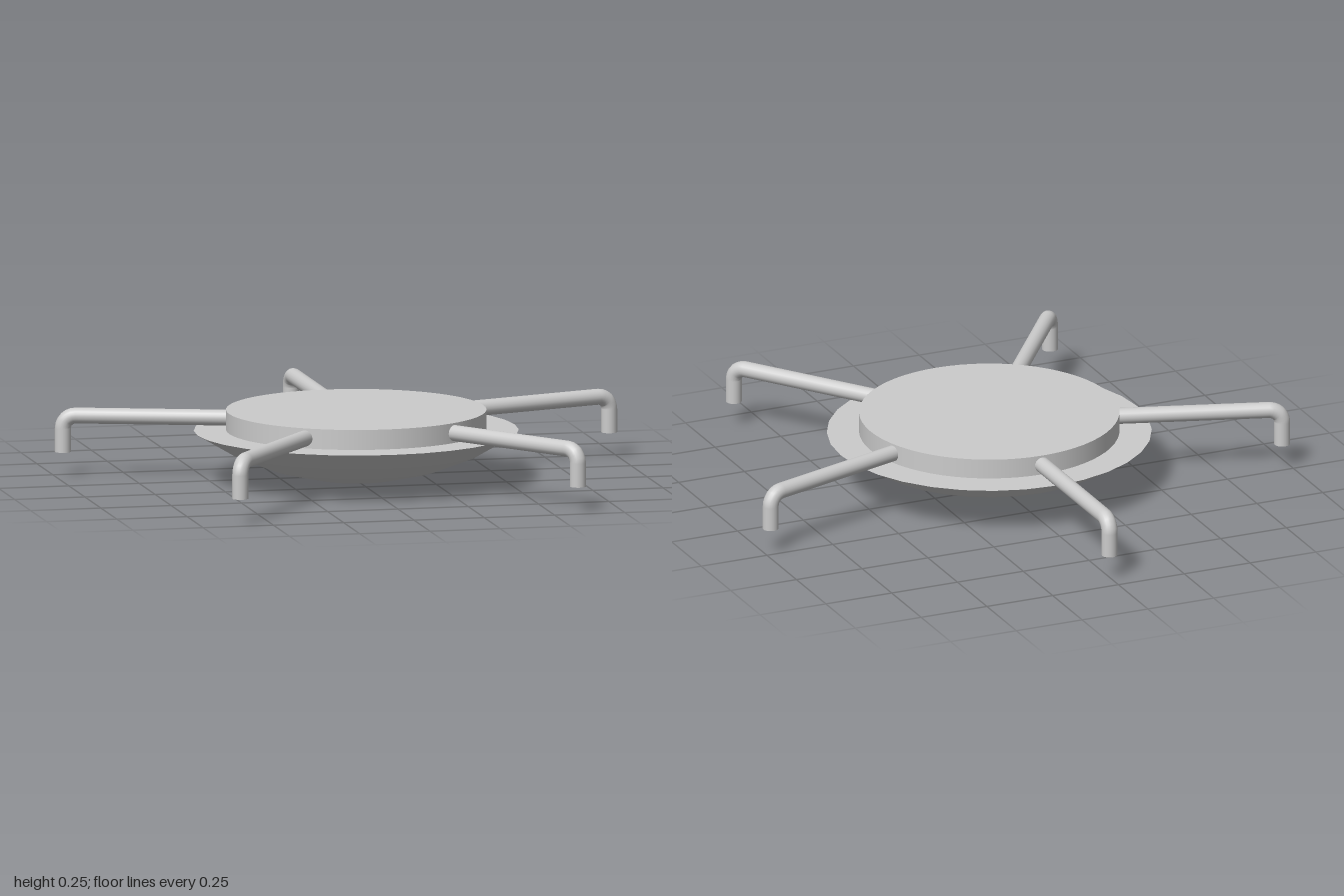
import * as THREE from 'three';

const material = new THREE.MeshStandardMaterial({ color: 0xcccccc });

function part(name, geometry, y = 0) {
  const mesh = new THREE.Mesh(geometry, material);
  mesh.name = name;
  mesh.position.y = y;
  return mesh;
}

// Bent rod running outward along +x, then turning down
function createArm() {
  const reach = 1.022, height = 0.213, bottom = 0.085, bend = 0.045, radius = 0.028;
  const v = (x, y) => new THREE.Vector3(x, y, 0);
  const corner = [];
  for (let i = 0; i <= 8; i++) {
    const a = (i / 8) * Math.PI / 2;
    corner.push(v(reach - bend + bend * Math.sin(a), height - bend + bend * Math.cos(a)));
  }
  const path = new THREE.CurvePath();
  const points = [v(0.42, height), ...corner, v(reach, bottom)];
  for (let i = 1; i < points.length; i++) path.add(new THREE.LineCurve3(points[i - 1], points[i]));

  const arm = new THREE.Group();
  arm.name = 'arm';
  arm.add(part('armRod', new THREE.TubeGeometry(path, 60, radius, 20)));
  const tip = part('armTip', new THREE.CircleGeometry(radius, 20).rotateX(Math.PI / 2), bottom);
  tip.position.x = reach;
  arm.add(tip);
  return arm;
}

export function createModel() {
  const model = new THREE.Group();
  model.name = 'fiveArmedDish';

  // Raised central disc
  model.add(part('topDisc', new THREE.CylinderGeometry(0.452, 0.452, 0.07, 64), 0.213));

  // Shallow spherical underside closed by a flat lid
  const rim = 0.564, depth = 0.176;
  const sphere = (rim * rim + depth * depth) / (2 * depth);
  const sweep = Math.asin(rim / sphere);
  const profile = [];
  for (let i = 0; i <= 4; i++) {
    const a = (sweep * i) / 4;
    profile.push(new THREE.Vector2(sphere * Math.sin(a), sphere * (1 - Math.cos(a))));
  }
  model.add(part('bowl', new THREE.LatheGeometry(profile, 32)));
  model.add(part('bowlLid', new THREE.CircleGeometry(rim, 32).rotateX(-Math.PI / 2), depth));

  // Five evenly spaced arms, the first pointing straight back
  for (let i = 0; i < 5; i++) {
    const arm = createArm();
    arm.rotation.y = Math.PI / 2 + (i * 2 * Math.PI) / 5;
    model.add(arm);
  }

  model.position.z = 0.097;
  return model;
}
